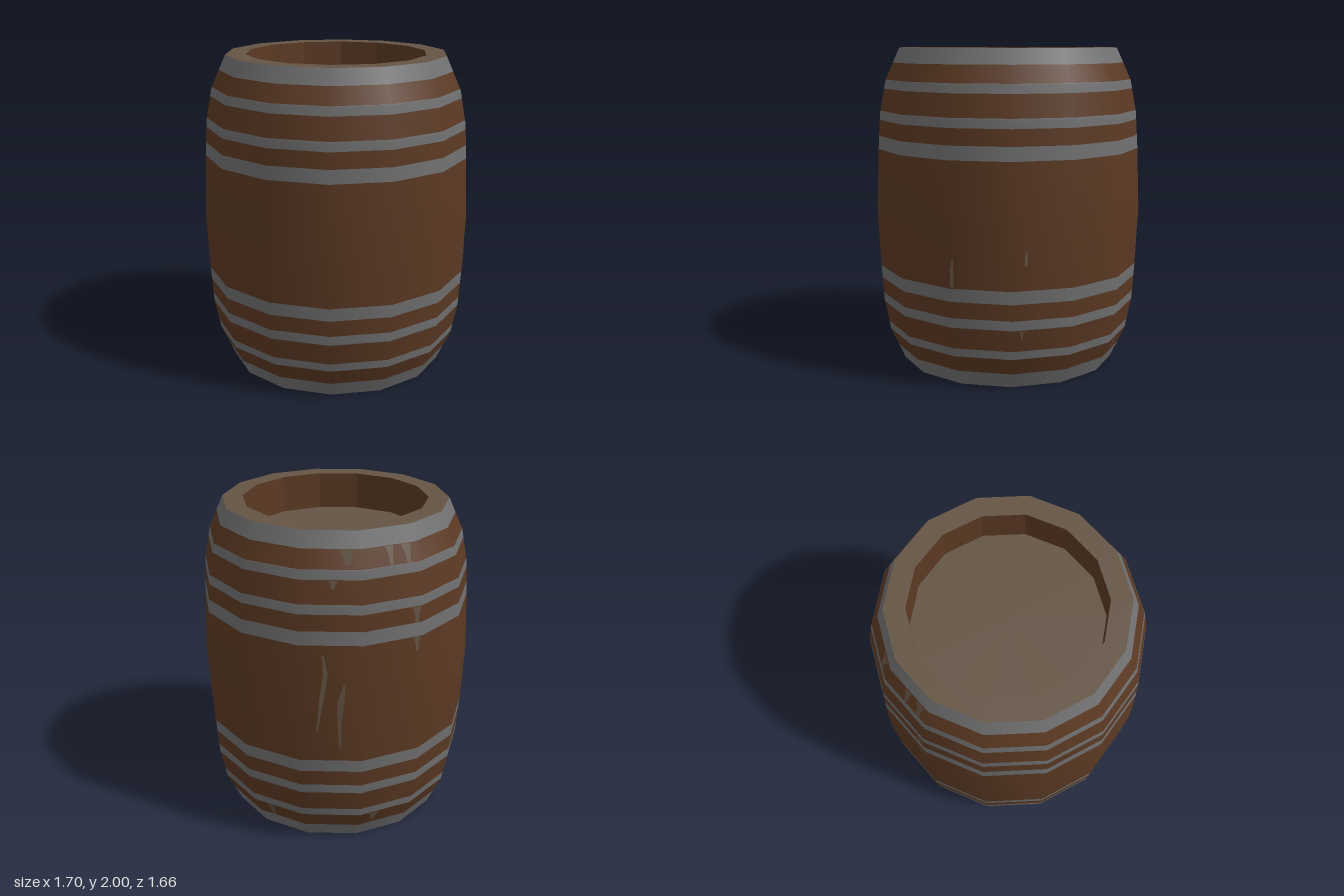
import * as THREE from 'three';

const SIDES = 14;
const STEP = (Math.PI * 2) / SIDES;
const V2 = (r, y) => new THREE.Vector2(r, y);

// Barrel silhouette: [height, corner radius]
const HALF = [[0, 0.69], [0.2, 0.78], [0.4, 0.818], [0.62, 0.832], [1, 0.848]];
const PROFILE = [...HALF, ...HALF.slice(0, -1).reverse().map(([y, r]) => [2 - y, r])];

function radiusAt(y) {
  const i = Math.max(1, PROFILE.findIndex(([h]) => h >= y));
  const [y0, r0] = PROFILE[i - 1], [y1, r1] = PROFILE[i];
  return r0 + ((r1 - r0) * (y - y0)) / (y1 - y0);
}

// Point just above the faceted barrel wall
function onWall(angle, y) {
  const local = (((angle - Math.PI / 2) % STEP) + STEP) % STEP;
  const r = (radiusAt(y) * Math.cos(STEP / 2)) / Math.cos(local - STEP / 2) + 0.004;
  return [Math.sin(angle) * r, y, Math.cos(angle) * r];
}

export function createModel() {
  const barrel = new THREE.Group();
  barrel.name = 'barrel';

  const material = (name, color, side = THREE.FrontSide) => {
    const m = new THREE.MeshStandardMaterial({ color, side });
    m.name = name;
    return m;
  };
  const wood = material('brownWood', 0x5b3923);
  const metal = material('greyMetal', 0x707070);
  const pale = material('paleWood', 0x645444, THREE.DoubleSide);

  const add = (name, geometry, mat) => {
    const mesh = new THREE.Mesh(geometry, mat);
    mesh.name = name;
    barrel.add(mesh);
  };
  const lathe = (points) => new THREE.LatheGeometry(points, SIDES, Math.PI / 2);

  // Section of the outer wall between two heights
  const wall = (y0, y1) => {
    const inner = PROFILE.filter(([y]) => y > y0 && y < y1).map(([y, r]) => V2(r, y));
    return lathe([V2(radiusAt(y0), y0), ...inner, V2(radiusAt(y1), y1)]);
  };

  // Alternating metal hoops and wooden staves, flush with each other
  const cuts = [0, 0.097, 0.204, 0.256, 0.39, 0.45, 0.55, 0.63,
    1.377, 1.46, 1.558, 1.615, 1.75, 1.805, 1.908, 2];
  for (let i = 0; i < cuts.length - 1; i++) {
    const isHoop = i % 2 === 0;
    add(isHoop ? 'hoop' : 'staves', wall(cuts[i], cuts[i + 1]), isHoop ? metal : wood);
  }

  // Base, rim, recess and sunken lid
  add('base', lathe([V2(0, 0), V2(0.69, 0)]), pale);
  add('rim', lathe([V2(0.69, 2), V2(0.565, 2)]), pale);
  const recess = lathe([V2(0.565, 2), V2(0.565, 1.77)]).toNonIndexed();
  recess.computeVertexNormals();
  add('recessWall', recess, wood);
  add('lid', lathe([V2(0.565, 1.77), V2(0, 1.77)]), pale);

  // Worn streak: ribbon along [angle in degrees, height, half width] stations
  const streak = (name, stations) => {
    const position = [], index = [];
    stations.forEach(([deg, y, half], i) => {
      const a = THREE.MathUtils.degToRad(deg), d = half / radiusAt(y);
      position.push(...onWall(a - d, y), ...onWall(a + d, y));
      const k = i * 2;
      if (i) index.push(k - 2, k, k - 1, k - 1, k, k + 1);
    });
    const g = new THREE.BufferGeometry();
    g.setAttribute('position', new THREE.Float32BufferAttribute(position, 3));
    g.setIndex(index);
    g.computeVertexNormals();
    add(name, g, pale);
  };

  // Long scratches on the back
  streak('backScratch', [[177, 1.32, 0.004], [178, 1.2, 0.014], [176.5, 1.05, 0.013], [174.5, 0.83, 0.004]]);
  streak('backScratch', [[185.5, 1.14, 0.006], [184, 1.02, 0.02], [183.5, 0.88, 0.012], [184, 0.72, 0.006]]);

  // Small scuffs on the +x side
  streak('sideScuff', [[66, 0.81, 0.004], [65.5, 0.74, 0.01], [65.5, 0.64, 0.01]]);
  streak('sideScuff', [[95.5, 0.86, 0.006], [95.5, 0.78, 0.011]]);
  streak('sideScuff', [[94, 0.385, 0.022], [94, 0.37, 0.008], [94, 0.33, 0.003]]);

  // Drips below the hoops
  for (const [deg, top, bottom, half] of [
    [187, 1.907, 1.83, 0.03], [206, 1.907, 1.808, 0.018], [214, 1.907, 1.808, 0.022],
    [216, 1.557, 1.465, 0.02], [216, 1.376, 1.29, 0.014], [181, 1.748, 1.7, 0.02],
    [150, 0.203, 0.1, 0.02], [200, 0.203, 0.13, 0.025],
  ]) {
    const mid = (top + bottom) / 2;
    streak('drip', [[deg, top, half * 1.4], [deg, mid, half * 0.7], [deg, bottom, half * 0.5]]);
  }

  return barrel;
}
